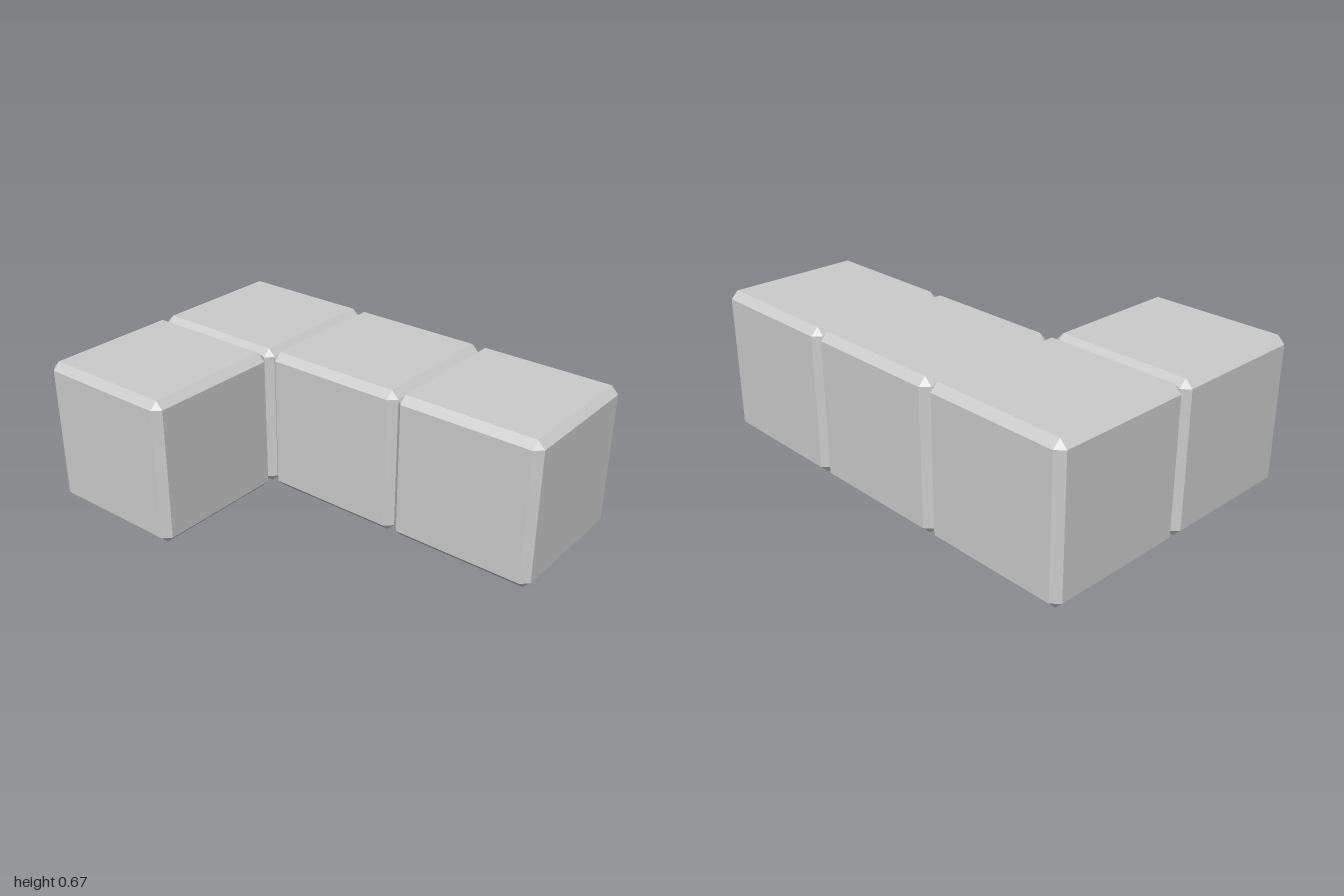
import * as THREE from 'three';
import { ConvexGeometry } from 'three/addons/geometries/ConvexGeometry.js';

const SIZE = 2 / 3;
const BEVEL = 0.033;

// Cube with flat chamfered edges and triangular corners
function chamferedCube(size, bevel) {
  const outer = size / 2;
  const inner = outer - bevel;
  const points = [];
  for (const x of [-1, 1]) for (const y of [-1, 1]) for (const z of [-1, 1]) {
    points.push(
      new THREE.Vector3(x * outer, y * inner, z * inner),
      new THREE.Vector3(x * inner, y * outer, z * inner),
      new THREE.Vector3(x * inner, y * inner, z * outer)
    );
  }
  return new ConvexGeometry(points);
}

export function createModel() {
  const model = new THREE.Group();
  model.name = 'lShapedBlock';
  const material = new THREE.MeshStandardMaterial({ color: 0xcccccc, flatShading: true });
  const geometry = chamferedCube(SIZE, BEVEL);

  // Row of three cubes at the back, one cube in front of the right end
  const cells = [
    ['cornerCube', -1, -0.5],
    ['middleCube', 0, -0.5],
    ['endCube', 1, -0.5],
    ['frontCube', -1, 0.5],
  ];
  for (const [name, column, row] of cells) {
    const cube = new THREE.Mesh(geometry, material);
    cube.name = name;
    cube.position.set(column * SIZE, SIZE / 2, row * SIZE);
    model.add(cube);
  }
  return model;
}
